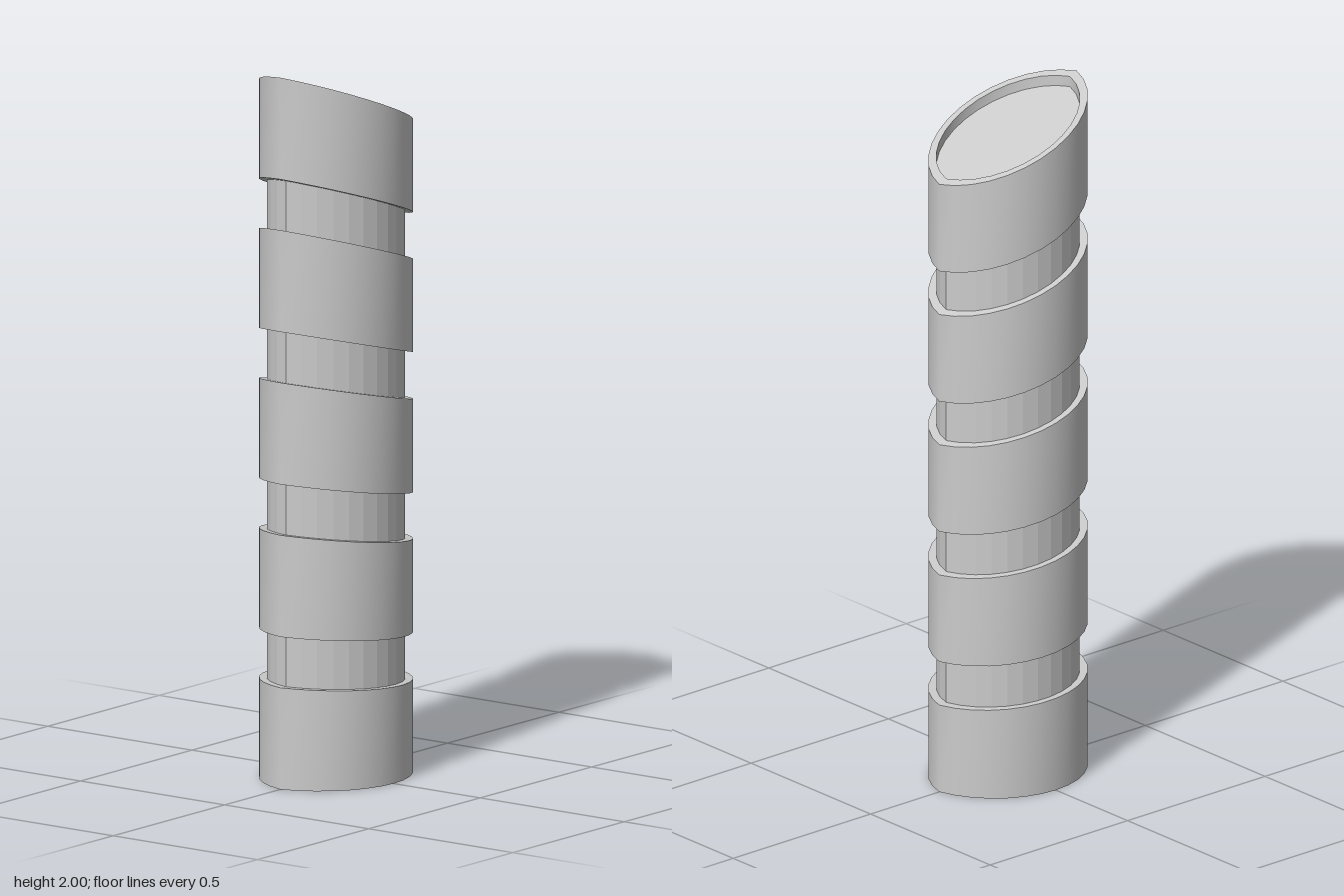
import * as THREE from 'three';

const HALF = 14;               // segments per arc of the lens-shaped section
const W = 0.25, D = 0.2;       // half width and half depth of the section
const CORE = 0.9;              // scale of the recessed core

// Lens outline: two circular arcs meeting at x = +W and x = -W
function lens() {
  const R = (W * W + D * D) / (2 * D), a = Math.asin(W / R), pts = [];
  for (const side of [1, -1]) {
    for (let i = 0; i < HALF; i++) {
      const t = a - (2 * a * i) / HALF;
      pts.push([side * R * Math.sin(t), side * (R * Math.cos(t) - (R - D))]);
    }
  }
  return pts;
}
const OUTLINE = lens();

// One loop: the cutting plane tilts more the higher it sits (t from 0 to 1)
const ring = (scale, t, drop = 0) => OUTLINE.map(([x, z]) =>
  [x * scale, t * (1.8975 - 0.41 * x * scale) - drop, z * scale]);

const smooth = new THREE.MeshStandardMaterial({ color: 0xcccccc, side: THREE.DoubleSide });
const faceted = new THREE.MeshStandardMaterial({ color: 0xcccccc, side: THREE.DoubleSide, flatShading: true });

function makeMesh(name, positions, index, material) {
  const g = new THREE.BufferGeometry();
  g.setAttribute('position', new THREE.Float32BufferAttribute(positions.flat(), 3));
  g.setIndex(index);
  g.computeVertexNormals();
  const mesh = new THREE.Mesh(g, material);
  mesh.name = name;
  return mesh;
}

// Closed strip between two loops
function strip(name, from, to, material = smooth) {
  const n = from.length, index = [];
  for (let i = 0; i < n; i++) {
    const j = (i + 1) % n;
    index.push(i, n + i, j, j, n + i, n + j);
  }
  return makeMesh(name, [...from, ...to], index, material);
}

export function createModel() {
  const group = new THREE.Group();
  group.name = 'bandedColumn';
  const BANDS = 5, UNITS = 14;

  for (let b = 0; b < BANDS; b++) {
    const t0 = (3 * b) / UNITS, t1 = (3 * b + 2) / UNITS, t2 = (3 * b + 3) / UNITS;
    // Wide band and the ledge on top of it
    group.add(strip('band' + (b + 1), ring(1, t0), ring(1, t1)));
    group.add(strip(b < BANDS - 1 ? 'upperLedge' + (b + 1) : 'topRim', ring(1, t1), ring(CORE, t1)));
    // Recessed core and the underside of the next band
    if (b < BANDS - 1) {
      group.add(strip('core' + (b + 1), ring(CORE, t1), ring(CORE, t2), faceted));
      group.add(strip('lowerLedge' + (b + 2), ring(CORE, t2), ring(1, t2)));
    }
  }

  // Shallow recess in the slanted top
  const floor = ring(CORE, 1, 0.03), n = floor.length, index = [];
  group.add(strip('recessWall', ring(CORE, 1), floor));
  for (let i = 0; i < n; i++) index.push(n, (i + 1) % n, i);
  group.add(makeMesh('recessFloor', [...floor, [0, 1.8675, 0]], index, smooth));

  return group;
}
